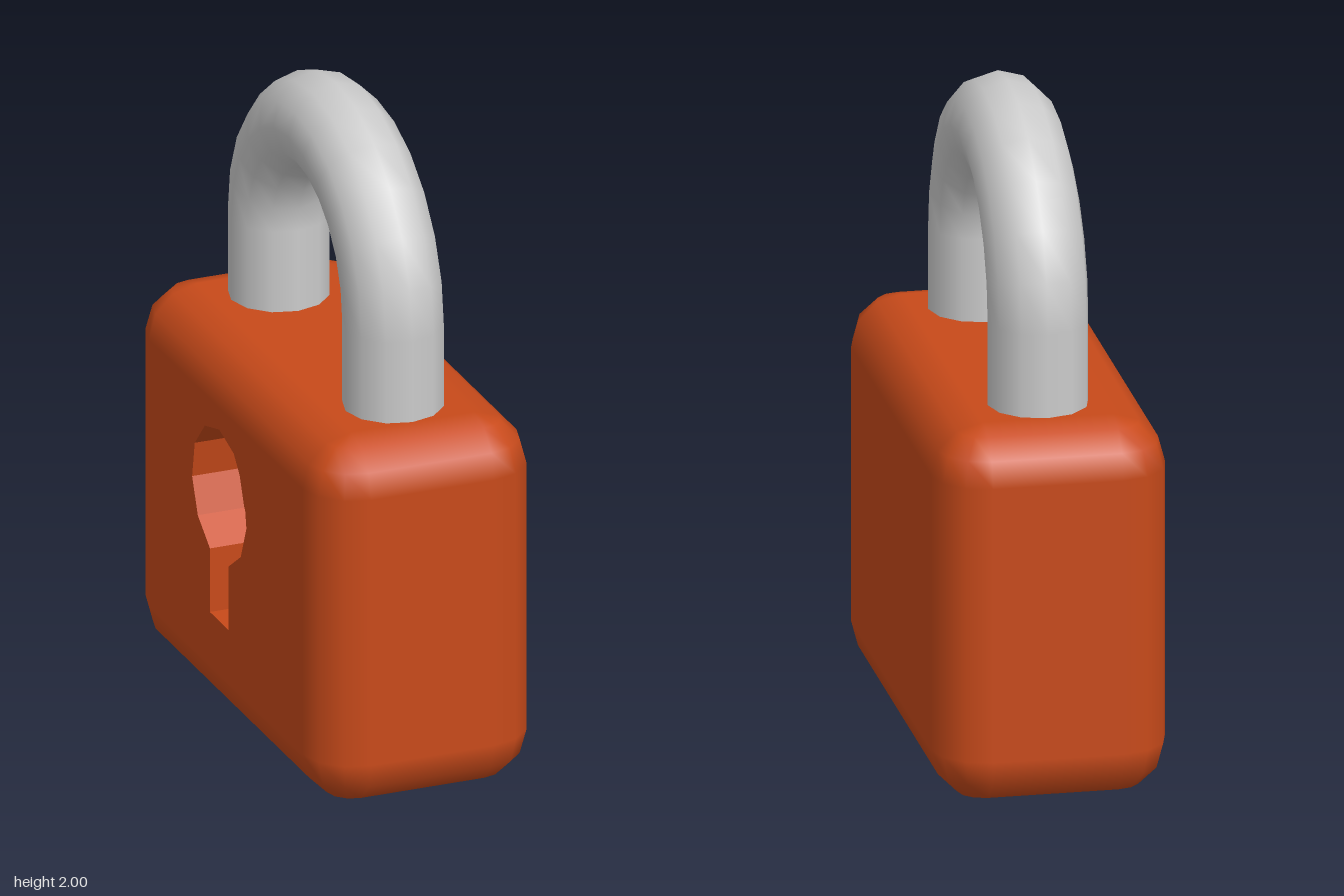
import * as THREE from 'three';

const R = 0.155;                              // edge rounding
const CX = 0.0035, HX = 0.194, HZ = 0.59;     // body centre and corner-centre offsets
const Y0 = R, Y1 = 1.0;                       // heights of the corner centres
const FACE_X = CX - HX - R, RIM_X = -0.357, FLOOR_X = -0.21;

// Box with three-step rounded edges, left open on the flat keyhole side
function roundedShell() {
  const pos = [], nor = [], idx = [], cols = 16;
  const signs = [[1, 1], [-1, 1], [-1, -1], [1, -1]];
  for (let row = 0; row < 8; row++) {
    const upper = row > 3;
    const phi = (upper ? row - 4 : row - 3) * Math.PI / 6;
    for (let c = 0; c < cols; c++) {
      const corner = Math.floor(c / 4);
      const a = corner * Math.PI / 2 + (c % 4) * Math.PI / 6;
      const n = [Math.cos(phi) * Math.cos(a), Math.sin(phi), Math.cos(phi) * Math.sin(a)];
      const [sx, sz] = signs[corner];
      pos.push(CX + sx * HX + R * n[0], (upper ? Y1 : Y0) + R * n[1], sz * HZ + R * n[2]);
      nor.push(...n);
    }
  }
  for (let row = 0; row < 7; row++) {
    for (let c = 0; c < cols; c++) {
      if (row === 3 && c === 7) continue;     // opening for the keyhole plate
      const d = (c + 1) % cols, lo = row * cols, hi = lo + cols;
      idx.push(lo + c, hi + c, hi + d, lo + c, hi + d, lo + d);
    }
  }
  const t = 7 * cols;
  idx.push(t, t + 12, t + 8, t, t + 8, t + 4);  // top
  idx.push(0, 8, 12, 0, 4, 8);                  // bottom
  const g = new THREE.BufferGeometry();
  g.setAttribute('position', new THREE.Float32BufferAttribute(pos, 3));
  g.setAttribute('normal', new THREE.Float32BufferAttribute(nor, 3));
  g.setIndex(idx);
  return g;
}

// Keyhole outline (z, y): round top with a straight slot below
function keyholePoints() {
  const pts = [], cz = -0.02, cy = 0.735, r = 0.21;
  for (let i = 0; i <= 10; i++) {
    const a = THREE.MathUtils.degToRad(-70 + i * 32);
    pts.push(new THREE.Vector2(cz + r * Math.cos(a), cy + r * Math.sin(a)));
  }
  pts.push(new THREE.Vector2(cz - 0.072, 0.335), new THREE.Vector2(cz + 0.072, 0.335));
  return pts;
}

// Side plate, bulging slightly towards the keyhole rim
function keyholePlate(pts) {
  const shape = new THREE.Shape([[-HZ, Y0], [HZ, Y0], [HZ, Y1], [-HZ, Y1]]
    .map(([z, y]) => new THREE.Vector2(z, y)));
  shape.holes.push(new THREE.Path(pts));
  const g = new THREE.ShapeGeometry(shape).rotateY(-Math.PI / 2);
  const p = g.attributes.position;
  for (let i = 0; i < p.count; i++) p.setX(i, Math.abs(p.getZ(i)) < 0.5 ? RIM_X : FACE_X);
  return g;
}

// Inward-facing walls of the keyhole recess
function keyholeWalls(pts) {
  const pos = [];
  pts.forEach((p, i) => {
    const q = pts[(i + 1) % pts.length];
    const a = [RIM_X, p.y, p.x], b = [RIM_X, q.y, q.x];
    const c = [FLOOR_X, q.y, q.x], d = [FLOOR_X, p.y, p.x];
    pos.push(...a, ...b, ...c, ...a, ...c, ...d);
  });
  const g = new THREE.BufferGeometry();
  g.setAttribute('position', new THREE.Float32BufferAttribute(pos, 3));
  g.computeVertexNormals();
  return g;
}

export function createModel() {
  const root = new THREE.Group();
  root.name = 'padlock';
  const paint = new THREE.MeshStandardMaterial({ color: 0xc84a1a });
  const steel = new THREE.MeshStandardMaterial({ color: 0xcccccc });
  const add = (parent, name, geometry, material) => {
    const m = new THREE.Mesh(geometry, material);
    m.name = name;
    parent.add(m);
    return m;
  };

  // Lock body with recessed keyhole
  const body = new THREE.Group();
  body.name = 'body';
  const pts = keyholePoints();
  add(body, 'bodyShell', roundedShell(), paint);
  add(body, 'keyholePlate', keyholePlate(pts), paint);
  add(body, 'keyholeWalls', keyholeWalls(pts), paint);
  const floor = new THREE.ShapeGeometry(new THREE.Shape(pts)).rotateY(-Math.PI / 2);
  add(body, 'keyholeFloor', floor.translate(FLOOR_X, 0, 0), paint);

  // Shackle: half-ring arch on two straight legs
  const shackle = new THREE.Group();
  shackle.name = 'shackle';
  shackle.position.x = 0.003;
  const archY = 1.41, legBottom = 1.1, span = 0.44, tube = 0.15;
  const arch = add(shackle, 'shackleArch', new THREE.TorusGeometry(span, tube, 12, 12, Math.PI), steel);
  arch.rotation.y = Math.PI / 2;
  arch.position.y = archY;
  for (const s of [1, -1]) {
    const leg = add(shackle, s > 0 ? 'frontLeg' : 'backLeg',
      new THREE.CylinderGeometry(tube, tube, archY - legBottom, 12, 1, true), steel);
    leg.position.set(0, (archY + legBottom) / 2, s * span);
  }

  root.add(body, shackle);
  return root;
}
